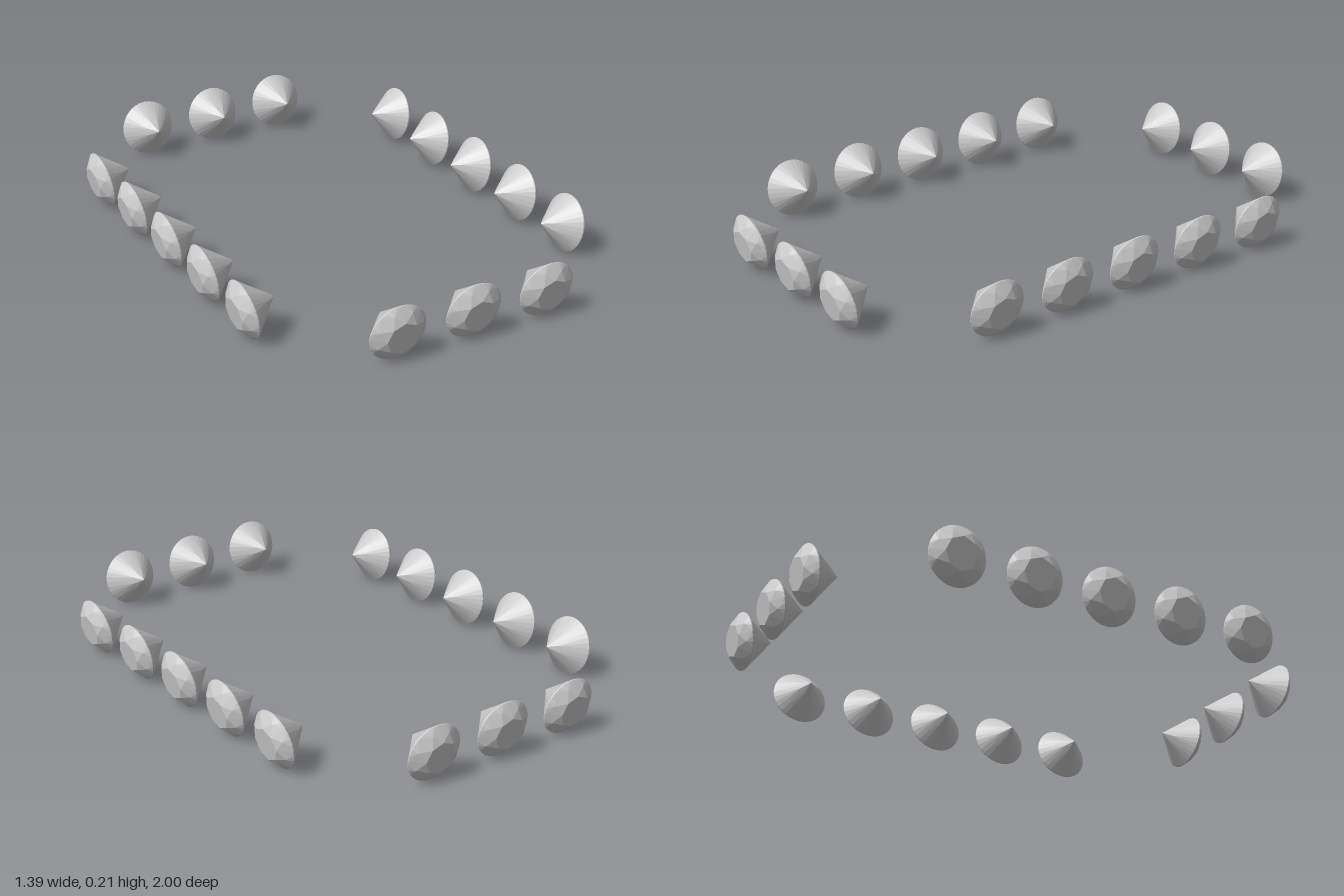
import * as THREE from 'three';

const R = 0.105, TABLE = 0.06, CROWN = 0.038, DEPTH = 0.111, RIM = 0.002;
const TILT = 0.18;

// Round brilliant cut, axis along y, girdle at y = 0
function brilliantGeometry() {
  const pos = [];
  const face = (...p) => {
    for (let k = 1; k < p.length - 1; k++)
      for (const v of [p[0], p[k], p[k + 1]]) pos.push(v.x, v.y, v.z);
  };
  const at = (r, y, step) => { // step counts 32nds of a turn
    const a = (step * Math.PI) / 16;
    return new THREE.Vector3(Math.sin(a) * r, y, Math.cos(a) * r);
  };
  const c = Math.cos(Math.PI / 8);
  const rStar = 0.088, yStar = CROWN * (R - rStar * c) / (R - TABLE);
  const rLow = 0.03, yLow = -DEPTH * (1 - rLow * c / R);
  const table = i => at(TABLE, CROWN, i * 4);
  const star = i => at(rStar, yStar, i * 4 + 2);
  const low = i => at(rLow, yLow, i * 4 + 2);
  const top = j => at(R, RIM, j), bottom = j => at(R, -RIM, j);
  const centre = new THREE.Vector3(0, CROWN, 0), culet = new THREE.Vector3(0, -DEPTH, 0);

  for (let i = 0; i < 8; i++) {
    face(centre, table(i), table(i + 1));                    // table
    face(table(i), star(i), table(i + 1));                   // star facet
    face(table(i), star(i - 1), top(i * 4), star(i));        // kite facet
    face(culet, low(i), bottom(i * 4), low(i - 1));          // pavilion main
    for (let j = i * 4; j < i * 4 + 4; j++) {
      face(star(i), top(j), top(j + 1));                     // upper half
      face(top(j), bottom(j), bottom(j + 1), top(j + 1));    // girdle
      face(low(i), bottom(j + 1), bottom(j));                // lower half
    }
  }
  const geo = new THREE.BufferGeometry();
  geo.setAttribute('position', new THREE.Float32BufferAttribute(pos, 3));
  geo.computeVertexNormals();
  return geo;
}

export function createModel() {
  const model = new THREE.Group();
  model.name = 'gemSetting';
  const geo = brilliantGeometry();
  const mat = new THREE.MeshStandardMaterial({ color: 0xcccccc, flatShading: true });

  // A straight row of gems facing outwards and slightly down
  function addRow(name, turn, distance, count) {
    const row = new THREE.Group();
    row.name = name;
    row.rotation.y = turn;
    for (let i = 0; i < count; i++) {
      const gem = new THREE.Mesh(geo, mat);
      gem.name = name + 'Gem' + (i + 1);
      gem.position.set((i - (count - 1) / 2) * 0.29, 0.104, distance);
      gem.rotation.x = Math.PI / 2 + TILT;
      row.add(gem);
    }
    model.add(row);
  }
  addRow('front', 0, 0.953, 3);
  addRow('back', Math.PI, 0.953, 3);
  addRow('left', Math.PI / 2, 0.646, 5);
  addRow('right', -Math.PI / 2, 0.646, 5);
  return model;
}
